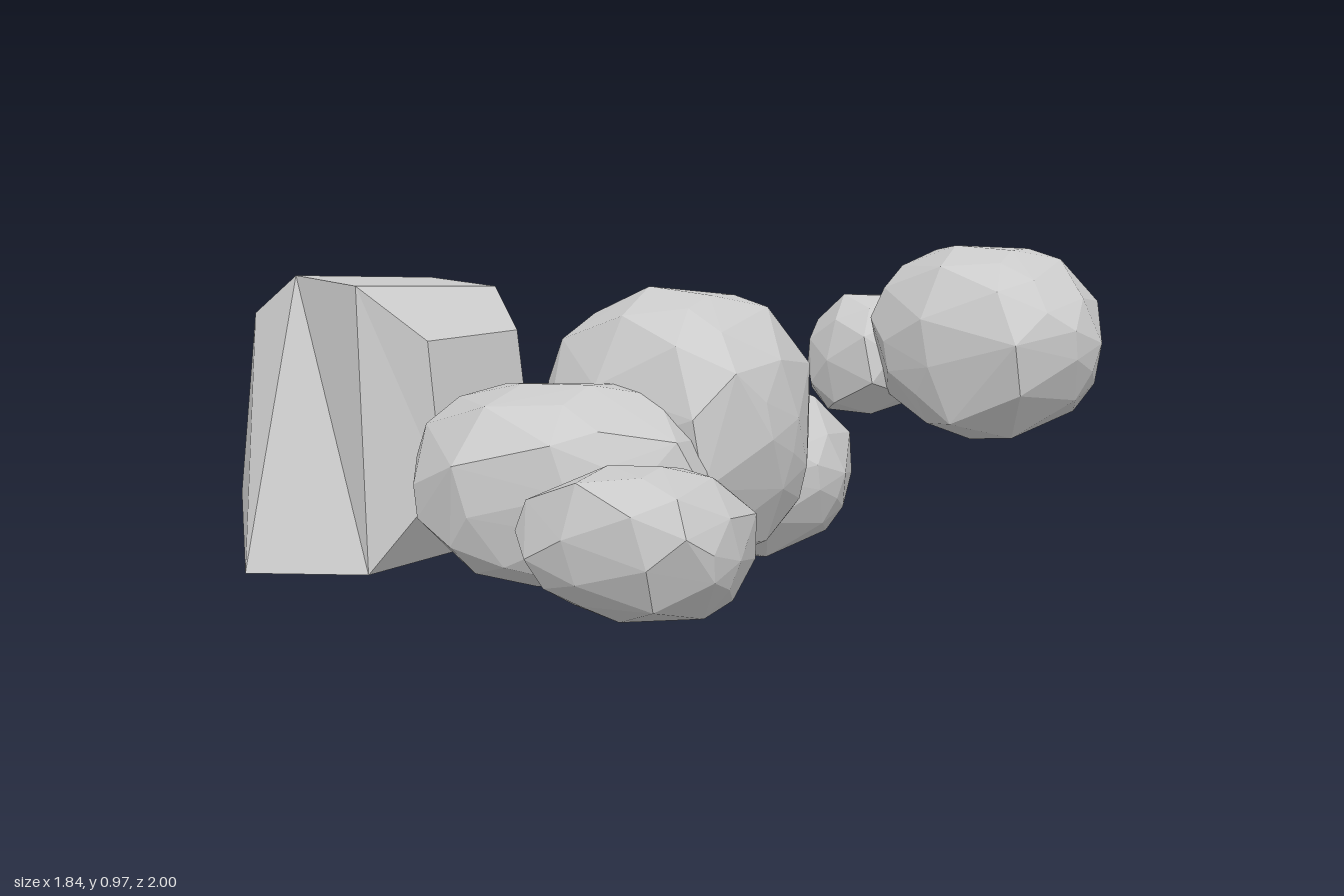
import * as THREE from 'three';
import { ConvexGeometry } from 'three/addons/geometries/ConvexGeometry.js';

const material = new THREE.MeshStandardMaterial({ color: 0xcccccc, flatShading: true });

function addMesh(parent, name, geometry) {
  const mesh = new THREE.Mesh(geometry, material);
  mesh.name = name;
  parent.add(mesh);
}

// Turns a flat outline (in hundredths) into its bounds and a gauge: 1 on the outline, 0 at its middle
function outline(pairs) {
  const pts = pairs.map(([a, b]) => new THREE.Vector2(a / 100, b / 100));
  const box = new THREE.Box2().setFromPoints(pts);
  const mid = box.getCenter(new THREE.Vector2());
  const edges = pts.map((p, i) => {
    const q = pts[(i + 1) % pts.length];
    const n = new THREE.Vector2(q.y - p.y, p.x - q.x);
    return n.divideScalar(n.dot(p.clone().sub(mid)));
  });
  return { box, gauge: (a, b) => Math.max(...edges.map((n) => n.x * a + n.y * b)) };
}

// Faceted stone blended from front (x, y), side (z, y) and top (x, z) outlines
function addStone(parent, name, front, side, top, count) {
  const [f, s, t] = [front, side, top].map(outline);
  const target = new THREE.Box3(
    new THREE.Vector3(f.box.min.x, f.box.min.y, t.box.min.y),
    new THREE.Vector3(f.box.max.x, f.box.max.y, t.box.max.y));
  const half = target.getSize(new THREE.Vector3()).multiplyScalar(0.5);
  const points = [];
  for (let i = 0; i < count; i++) {
    const y = 1 - (2 * i + 1) / count;
    const r = Math.sqrt(1 - y * y);
    const a = i * 2.39996 + 0.25 * Math.sin(i * 7.3);
    const d = new THREE.Vector3(r * Math.cos(a), y, r * Math.sin(a)).multiply(half);
    const g = [f.gauge(d.x, d.y), s.gauge(d.z, d.y), t.gauge(d.x, d.z)];
    points.push(d.divideScalar(Math.cbrt(g.reduce((sum, v) => sum + v ** 3, 0))));
  }
  // Stretch to the outlines' full size
  const box = new THREE.Box3().setFromPoints(points);
  const scale = target.getSize(new THREE.Vector3()).divide(box.getSize(new THREE.Vector3()));
  points.forEach((p) => p.sub(box.min).multiply(scale).add(target.min));
  addMesh(parent, name, new ConvexGeometry(points));
}

// Eight-sided block: side faces between the two rims, each end closed by three strips
function blockGeometry(rimFront, rimBack) {
  const end = [[0, 7, 6], [0, 6, 1], [1, 6, 5], [1, 5, 2], [2, 5, 4], [2, 4, 3]];
  const index = [];
  for (const [a, b, c] of end) index.push(a, b, c, a + 8, c + 8, b + 8);
  for (let i = 0; i < 8; i++) {
    const j = (i + 1) % 8;
    index.push(i, j, j + 8, i, j + 8, i + 8);
  }
  const geometry = new THREE.BufferGeometry();
  geometry.setAttribute('position', new THREE.Float32BufferAttribute([...rimFront, ...rimBack].flat(), 3));
  geometry.setIndex(index);
  const flat = geometry.toNonIndexed();
  flat.computeVertexNormals();
  return flat;
}

// Boulder with a long leaning stone and a small stone beside it
function backCluster(name) {
  const group = new THREE.Group();
  group.name = name;
  addStone(group, 'roundBoulder',
    [[-47, 28], [-42, 11], [-15, 0], [-2, 4], [8, 20], [10, 29], [-2, 42], [-24, 49], [-40, 42]],
    [[-28, 22], [-29, 34], [-40, 45], [-55, 49], [-70, 47], [-80, 37], [-82, 20], [-78, 7], [-55, 0], [-35, 1], [-30, 6]],
    [[-41, -36], [-30, -31], [-13, -28], [1, -31], [7, -40], [10, -54], [8, -62], [2, -75], [-5, -80], [-18, -82], [-28, -76], [-44, -63], [-47, -50]],
    56);
  addStone(group, 'leaningStone',
    [[-70, 8], [-69, 18], [-50, 34], [-30, 42], [-21, 40], [-20, 31], [-38, 14], [-60, 4]],
    [[-58, 15], [-62, 35], [-76, 42], [-91, 42], [-97, 36], [-100, 20], [-98, 16], [-83, 5], [-68, 4]],
    [[-70, -63], [-70, -88], [-67, -95], [-59, -100], [-36, -98], [-24, -88], [-20, -78], [-25, -62], [-50, -58]],
    48);
  addStone(group, 'smallStone',
    [[-70, 14], [-69, 24], [-60, 34], [-46, 34], [-38, 24], [-40, 8], [-57, 2], [-68, 8]],
    [[-34, 10], [-36, 24], [-47, 34], [-58, 33], [-66, 22], [-64, 8], [-50, 2], [-40, 3]],
    [[-70, -58], [-69, -45], [-60, -36], [-43, -34], [-38, -45], [-46, -62], [-58, -66], [-66, -64]],
    40);
  return group;
}

export function createModel() {
  const model = new THREE.Group();
  model.name = 'rocks';

  // Cut block with matching front and back rims
  const rimFront = [[-0.89, 0.78, 0.69], [-0.74, 0.89, 0.67], [-0.47, 0.89, 0.7], [-0.3, 0.76, 0.62],
    [-0.26, 0.4, 0.62], [-0.4, 0.17, 0.75], [-0.65, 0.17, 0.94], [-0.92, 0.3, 0.74]];
  const rimBack = [[-0.87, 0.76, 0.37], [-0.7, 0.845, 0.24], [-0.44, 0.845, 0.25], [-0.3, 0.75, 0.31],
    [-0.26, 0.4, 0.3], [-0.39, 0.17, 0.16], [-0.64, 0.17, 0.15], [-0.86, 0.3, 0.37]];
  addMesh(model, 'cutBlock', blockGeometry(rimFront, rimBack));

  // Front cluster
  const cluster = new THREE.Group();
  cluster.name = 'frontCluster';
  model.add(cluster);
  addStone(cluster, 'largeBoulder',
    [[-4, 62], [-2, 72], [4, 83], [20, 91], [40, 87], [52, 76], [58, 58], [54, 42], [45, 31], [29, 23], [10, 28], [0, 42]],
    [[35, 91], [15, 87], [0, 75], [-2, 65], [8, 43], [15, 28], [29, 23], [45, 27], [56, 42], [60, 60], [52, 82]],
    [[1, 8], [12, 0], [19, -2], [35, 0], [49, 12], [55, 36], [58, 50], [52, 58], [25, 60], [2, 57], [-4, 28]],
    64);
  addStone(cluster, 'broadStone',
    [[-11, 37], [-9, 48], [-3, 66], [22, 73], [45, 69], [54, 61], [57, 54], [53, 42], [42, 28], [25, 27], [5, 30]],
    [[98, 55], [95, 64], [85, 70], [60, 73], [45, 60], [36, 47], [37, 32], [50, 27], [70, 27], [88, 29], [97, 38]],
    [[-11, 75], [-9, 65], [0, 53], [28, 41], [46, 36], [56, 44], [57, 60], [49, 72], [35, 87], [18, 98], [3, 95], [-8, 84]],
    56);
  addStone(cluster, 'lowStone',
    [[33, 37], [34, 47], [42, 57], [60, 61], [74, 59], [80, 49], [79, 39], [72, 30], [60, 27], [42, 28]],
    [[100, 43], [99, 54], [95, 60], [78, 58], [60, 51], [57, 40], [60, 28], [85, 27], [97, 36]],
    [[33, 95], [40, 100], [60, 98], [78, 92], [80, 87], [75, 66], [69, 58], [58, 57], [49, 70]],
    48);

  // Two matching clusters behind, one low and one raised
  const low = backCluster('lowBackCluster');
  const raised = backCluster('raisedBackCluster');
  raised.position.set(0.82, 0.475, 0.055);
  model.add(low, raised);
  return model;
}
